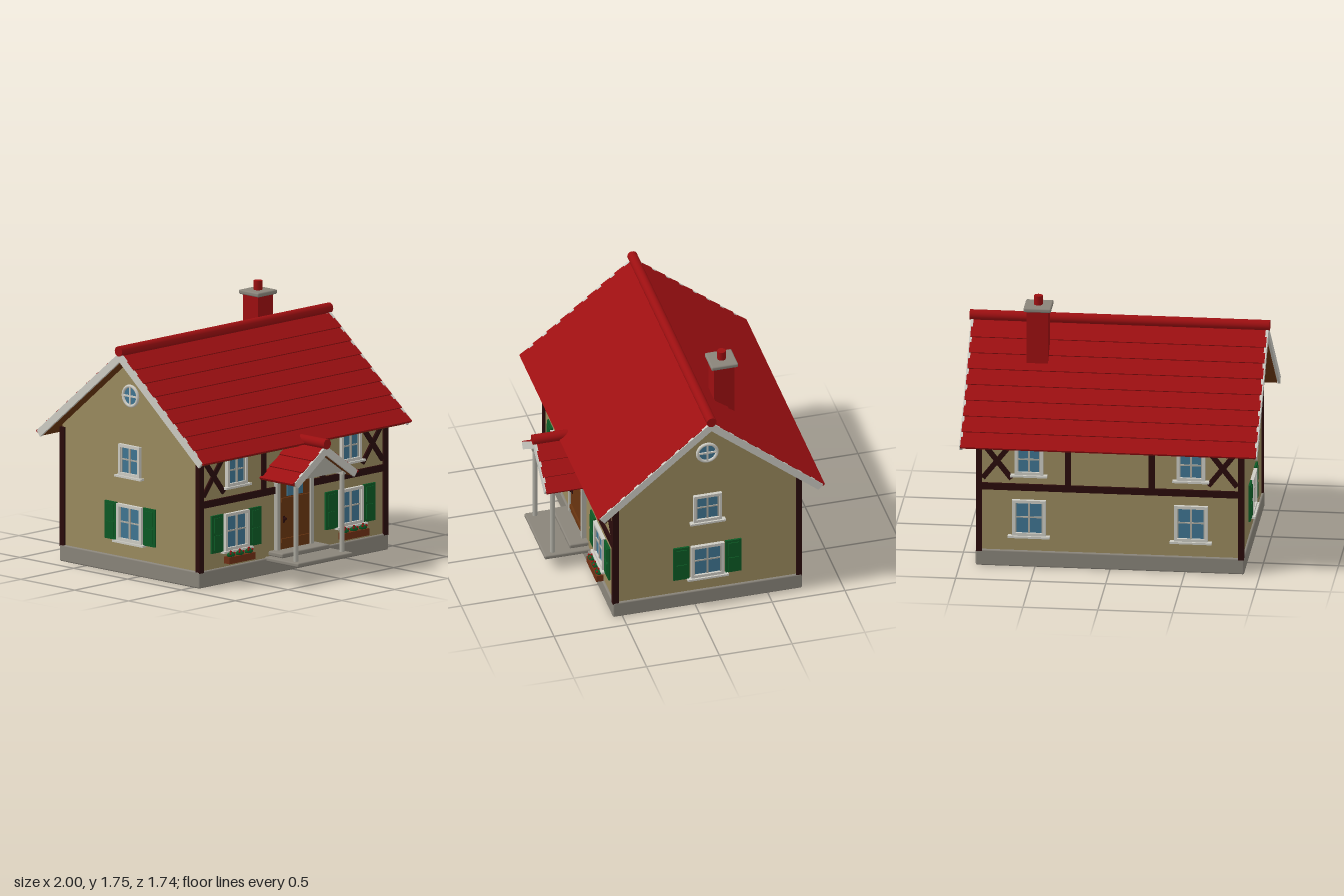
import * as THREE from 'three';
import { RoundedBoxGeometry } from 'three/addons/geometries/RoundedBoxGeometry.js';

const material = (name, color) => {
  const m = new THREE.MeshStandardMaterial({ color });
  m.name = name;
  return m;
};
const roofRed = material('roofRed', 0x9c0f11);
const plaster = material('plaster', 0x9a8a5e);
const stone = material('stone', 0x89847a);
const trim = material('trim', 0xcdccc4);
const offWhite = material('offWhite', 0xaeaca2);
const timber = material('timber', 0x2a0b0b);
const green = material('shutterGreen', 0x0c5a25);
const glass = material('glass', 0x3f7592);
const wood = material('wood', 0x693510);
const planter = material('planterBrown', 0x6e2f14);

function add(parent, name, geometry, mat, x = 0, y = 0, z = 0) {
  const mesh = new THREE.Mesh(geometry, mat);
  mesh.name = name;
  mesh.position.set(x, y, z);
  parent.add(mesh);
  return mesh;
}
const box = (p, name, mat, w, h, d, x, y, z) => add(p, name, new THREE.BoxGeometry(w, h, d), mat, x, y, z);
const softBox = (p, name, mat, w, h, d, x, y, z) =>
  add(p, name, new RoundedBoxGeometry(w, h, d, 2, 0.01), mat, x, y, z);

function group(parent, name, x = 0, y = 0, z = 0, turn = 0) {
  const g = new THREE.Group();
  g.name = name;
  g.position.set(x, y, z);
  g.rotation.y = turn;
  parent.add(g);
  return g;
}

// Gable roof with its ridge along local z; apex is the underside of the ridge
function gableRoof(parent, name, o) {
  const roof = group(parent, name, o.x, o.apex, o.z, o.turn);
  const pitch = o.run / o.rows;
  for (const s of [-1, 1]) {
    const slope = group(roof, 'roofSlope');
    slope.rotation.z = -s * o.angle;
    box(slope, 'soffit', wood, o.board, 0.032, o.length - 0.03, s * (o.board / 2 - 0.01), 0.016, 0);
    for (let i = 0; i < o.rows; i++) {
      const row = box(slope, 'tileRow', roofRed, pitch + 0.012, 0.016, o.length, s * ((i + 0.5) * pitch - 0.006), 0.043, 0);
      row.rotation.z = s * 0.07;
    }
    for (const z of o.boards) {
      box(slope, 'bargeBoard', trim, o.board + 0.03, 0.05, 0.018, s * (o.board / 2 - 0.015), 0.025, z);
    }
  }
  const ridge = add(roof, 'ridge', new THREE.CylinderGeometry(0.034, 0.034, o.length + 0.03, 20), roofRed, 0, 0.074, 0);
  ridge.rotation.x = Math.PI / 2;
  return roof;
}

// Rectangular window with four panes and a sill, facing local +z
function windowUnit(wall, x, y, w, h, sillWidth) {
  const g = group(wall, 'window', x, y, 0);
  const f = 0.02;
  box(g, 'pane', glass, w - f, h - f, 0.008, 0, 0, 0.004);
  for (const s of [-1, 1]) {
    box(g, 'frameSide', trim, f, h, 0.024, s * (w - f) / 2, 0, 0.012);
    box(g, 'frameRail', trim, w, f, 0.024, 0, s * (h - f) / 2, 0.012);
    // casement around each half
    box(g, 'casement', offWhite, 0.01, h - f, 0.014, s * (w / 2 - f - 0.003), 0, 0.007);
  }
  box(g, 'mullion', offWhite, 0.014, h - f, 0.016, 0, 0, 0.008);
  box(g, 'glazingBar', offWhite, w - f, 0.01, 0.014, 0, 0.005, 0.007);
  box(g, 'sill', trim, sillWidth, 0.014, 0.036, 0, -h / 2 - 0.007, 0.018);
}

function shutters(wall, x, y) {
  for (const s of [-1, 1]) {
    const g = group(wall, 'shutter', x + s * 0.179, y, 0);
    box(g, 'shutterBoard', green, 0.11, 0.255, 0.014, 0, 0, 0.007);
    for (const t of [-1, 1]) box(g, 'shutterPanel', green, 0.07, 0.1, 0.008, 0, t * 0.059, 0.016);
  }
}

function flowerBox(wall, x) {
  const g = group(wall, 'flowerBox', x, 0.163, 0.042);
  box(g, 'planter', planter, 0.245, 0.046, 0.05, 0, 0, 0);
  for (const px of [-0.085, 0, 0.085]) {
    const leaf = add(g, 'foliage', new THREE.IcosahedronGeometry(0.026, 1), green, px, 0.033, 0);
    leaf.scale.set(1.25, 0.75, 0.9);
    for (const [fx, fy, fz] of [[0, 0.054, 0], [-0.018, 0.045, 0.014], [0.018, 0.045, 0.014]]) {
      add(g, 'flower', new THREE.SphereGeometry(0.008, 8, 6), roofRed, px + fx, fy, fz);
    }
  }
}

// Beam, posts and crossed braces of a long wall, with its four windows
function longWall(house, name, z, turn) {
  const wall = group(house, name, 0, 0, z, turn);
  box(wall, 'beam', timber, 1.72, 0.046, 0.03, 0, 0.56, 0);
  for (const s of [-1, 1]) {
    box(wall, 'upperPost', timber, 0.04, 0.34, 0.03, s * 0.279, 0.74, 0);
    for (const t of [-1, 1]) {
      const brace = box(wall, 'brace', timber, 0.034, 0.31, 0.026, s * 0.752, 0.74, t * 0.001);
      brace.rotation.z = t * 0.66;
    }
    windowUnit(wall, s * 0.54, 0.754, 0.192, 0.205, 0.245);
    windowUnit(wall, s * 0.54, 0.346, 0.225, 0.25, 0.28);
  }
  return wall;
}

function gableWall(house, s) {
  const wall = group(house, 'gableWall', s * 0.88, 0, -0.085, s * Math.PI / 2);
  windowUnit(wall, 0, 0.772, 0.195, 0.21, 0.242);
  windowUnit(wall, 0, 0.346, 0.228, 0.25, 0.282);
  shutters(wall, 0, 0.346);
  // round attic window
  const g = group(wall, 'roundWindow', 0, 1.21, 0);
  add(g, 'pane', new THREE.CircleGeometry(0.07, 32), glass, 0, 0, 0.005);
  add(g, 'ring', new THREE.TorusGeometry(0.067, 0.011, 10, 36), trim, 0, 0, 0.005);
  box(g, 'barUpright', trim, 0.012, 0.13, 0.014, 0, 0, 0.007);
  box(g, 'barAcross', trim, 0.13, 0.012, 0.014, 0, 0, 0.007);
}

function door(wall) {
  const g = group(wall, 'door');
  for (let i = -2; i <= 2; i++) box(g, 'plank', wood, 0.055, 0.47, 0.024, i * 0.057, 0.375, 0.008);
  box(g, 'doorBack', wood, 0.285, 0.47, 0.017, 0, 0.375, 0.0085);
  for (const y of [0.487, 0.212]) box(g, 'batten', wood, 0.26, 0.028, 0.014, 0, y, 0.026);
  box(g, 'doorPane', glass, 0.15, 0.082, 0.008, 0, 0.55, 0.022);
  for (const s of [-1, 1]) box(g, 'jamb', offWhite, 0.03, 0.48, 0.032, s * 0.158, 0.37, 0.016);
  box(g, 'lintel', trim, 0.37, 0.026, 0.045, 0, 0.624, 0.022);
  box(g, 'lintelStep', trim, 0.27, 0.014, 0.034, 0, 0.644, 0.017);
  box(g, 'lintelTop', trim, 0.2, 0.018, 0.04, 0, 0.66, 0.02);
  box(g, 'handlePlate', timber, 0.018, 0.045, 0.006, -0.102, 0.355, 0.022);
  add(g, 'handle', new THREE.SphereGeometry(0.011, 10, 8), timber, -0.102, 0.36, 0.034);
}

function porch(house) {
  const g = group(house, 'porch');
  softBox(g, 'lowerStep', stone, 0.52, 0.03, 0.32, 0, 0.105, 0.7);
  softBox(g, 'upperStep', stone, 0.45, 0.032, 0.15, 0, 0.138, 0.605);
  for (const s of [-1, 1]) {
    add(g, 'column', new THREE.CylinderGeometry(0.016, 0.016, 0.55, 16), offWhite, s * 0.219, 0.393, 0.797);
    box(g, 'sideBeam', offWhite, 0.03, 0.025, 0.28, s * 0.219, 0.66, 0.68);
  }
  const tri = new THREE.Shape([[-0.215, 0.667], [0.215, 0.667], [0, 0.82]].map(p => new THREE.Vector2(...p)));
  add(g, 'porchGable', new THREE.ExtrudeGeometry(tri, { depth: 0.02, bevelEnabled: false }), offWhite, 0, 0, 0.79);
  gableRoof(g, 'porchRoof', {
    x: 0, z: 0.655, apex: 0.818, turn: 0, angle: 0.61, run: 0.345, rows: 3, board: 0.326, length: 0.41, boards: [0.203],
  });
}

function chimney(house) {
  const g = group(house, 'chimney', 0.523, 0, -0.282);
  box(g, 'stack', roofRed, 0.142, 0.47, 0.142, 0, 1.435, 0);
  softBox(g, 'cap', stone, 0.184, 0.03, 0.184, 0, 1.678, 0);
  add(g, 'chimneyPot', new THREE.CylinderGeometry(0.029, 0.029, 0.075, 18), roofRed, 0, 1.7175, 0);
}

export function createModel() {
  const house = new THREE.Group();
  house.name = 'house';

  softBox(house, 'foundation', stone, 1.79, 0.112, 1.3, 0, 0.056, -0.085);

  // Five-sided wall profile run along x
  const profile = new THREE.Shape(
    [[-0.635, 0.1], [0.635, 0.1], [0.635, 0.928], [0, 1.455], [-0.635, 0.928]].map(p => new THREE.Vector2(...p)));
  const walls = add(house, 'walls',
    new THREE.ExtrudeGeometry(profile, { depth: 1.76, bevelEnabled: false }), plaster, -0.88, 0, -0.085);
  walls.rotation.y = Math.PI / 2;

  for (const s of [-1, 1]) {
    for (const z of [0.545, -0.715]) box(house, 'cornerPost', timber, 0.04, 0.81, 0.04, s * 0.873, 0.505, z);
    gableWall(house, s);
  }

  const front = longWall(house, 'frontWall', 0.55, 0);
  longWall(house, 'backWall', -0.72, Math.PI);
  for (const s of [-1, 1]) {
    shutters(front, s * 0.54, 0.346);
    flowerBox(front, s * 0.54);
  }
  door(front);
  porch(house);

  gableRoof(house, 'mainRoof', {
    x: 0, z: -0.085, apex: 1.455, turn: Math.PI / 2, angle: 0.693, run: 0.97, rows: 8, board: 0.957, length: 1.97,
    boards: [-0.983, 0.983],
  });
  chimney(house);
  return house;
}
